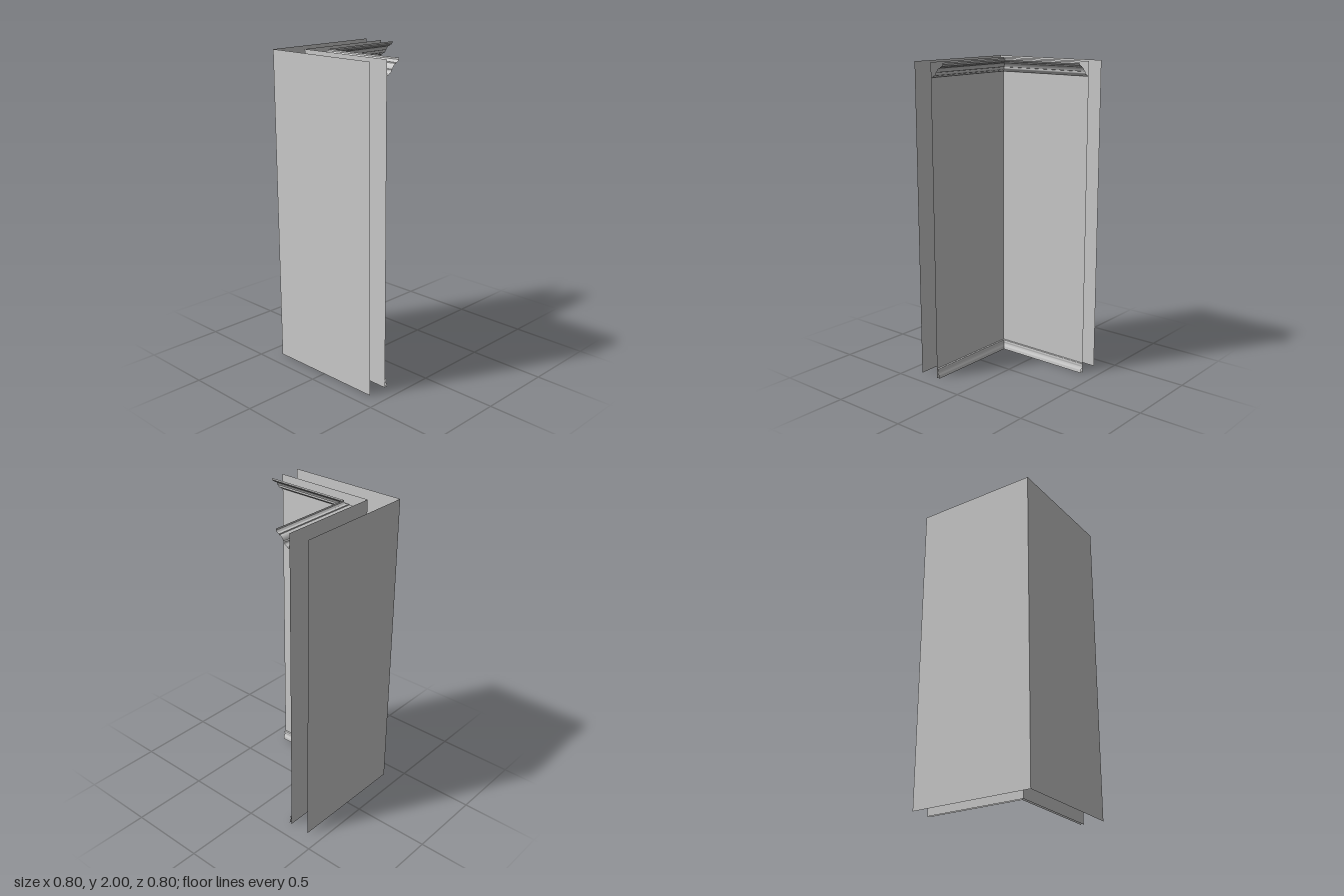
import * as THREE from 'three';
import { toCreasedNormals } from 'three/addons/utils/BufferGeometryUtils.js';

const END = 0.4;      // free ends of both legs
const INNER = -0.267; // room-side wall face
const OUTER = -0.4;   // outside wall face

const material = new THREE.MeshStandardMaterial({ color: 0xcccccc, side: THREE.DoubleSide });

// Sweeps an open profile (x = distance out from the wall, y = height) round the mitred corner
function cornerSweep(name, profile, wall) {
  const positions = [];
  const index = [];
  for (const p of profile) {
    const w = wall + p.x;
    positions.push(w, p.y, END, w, p.y, w, END, p.y, w);
  }
  for (let i = 0; i < profile.length - 1; i++) {
    for (let j = 0; j < 2; j++) {
      const a = i * 3 + j;
      index.push(a, a + 1, a + 4, a, a + 4, a + 3);
    }
  }
  let geometry = new THREE.BufferGeometry();
  geometry.setAttribute('position', new THREE.Float32BufferAttribute(positions, 3));
  geometry.setIndex(index);
  geometry = toCreasedNormals(geometry, 0.6);
  const mesh = new THREE.Mesh(geometry, material);
  mesh.name = name;
  return mesh;
}

export function createModel() {
  const group = new THREE.Group();
  group.name = 'wallCorner';

  // Thin inner and outer wall skins, open at top and bottom
  const wallLine = [new THREE.Vector2(0, 0), new THREE.Vector2(0, 2)];
  group.add(cornerSweep('innerWall', wallLine, INNER));
  group.add(cornerSweep('outerWall', wallLine, OUTER));

  // Baseboard: flat foot, then an ogee back to the wall
  const base = new THREE.Path();
  base.moveTo(0.018, 0);
  base.lineTo(0.016, 0.018);
  base.quadraticCurveTo(0.015, 0.026, 0.011, 0.03);
  base.quadraticCurveTo(0.007, 0.036, 0.008, 0.046);
  base.quadraticCurveTo(0.011, 0.053, 0.009, 0.06);
  base.quadraticCurveTo(0.007, 0.065, 0, 0.065);
  group.add(cornerSweep('baseboard', base.getPoints(5), INNER));

  // Crown moulding: lower bead, cove, step and upper ogee
  const crown = new THREE.Path();
  crown.moveTo(0, 1.91);
  crown.lineTo(0.012, 1.91);
  crown.quadraticCurveTo(0.018, 1.921, 0.028, 1.922);
  crown.quadraticCurveTo(0.038, 1.925, 0.037, 1.94);
  crown.lineTo(0.045, 1.942);
  crown.quadraticCurveTo(0.053, 1.966, 0.074, 1.97);
  crown.lineTo(0.075, 1.976);
  crown.quadraticCurveTo(0.09, 1.977, 0.093, 1.985);
  crown.lineTo(0.097, 1.99);
  crown.lineTo(0.097, 2);
  group.add(cornerSweep('crownMoulding', crown.getPoints(6), INNER));

  return group;
}
